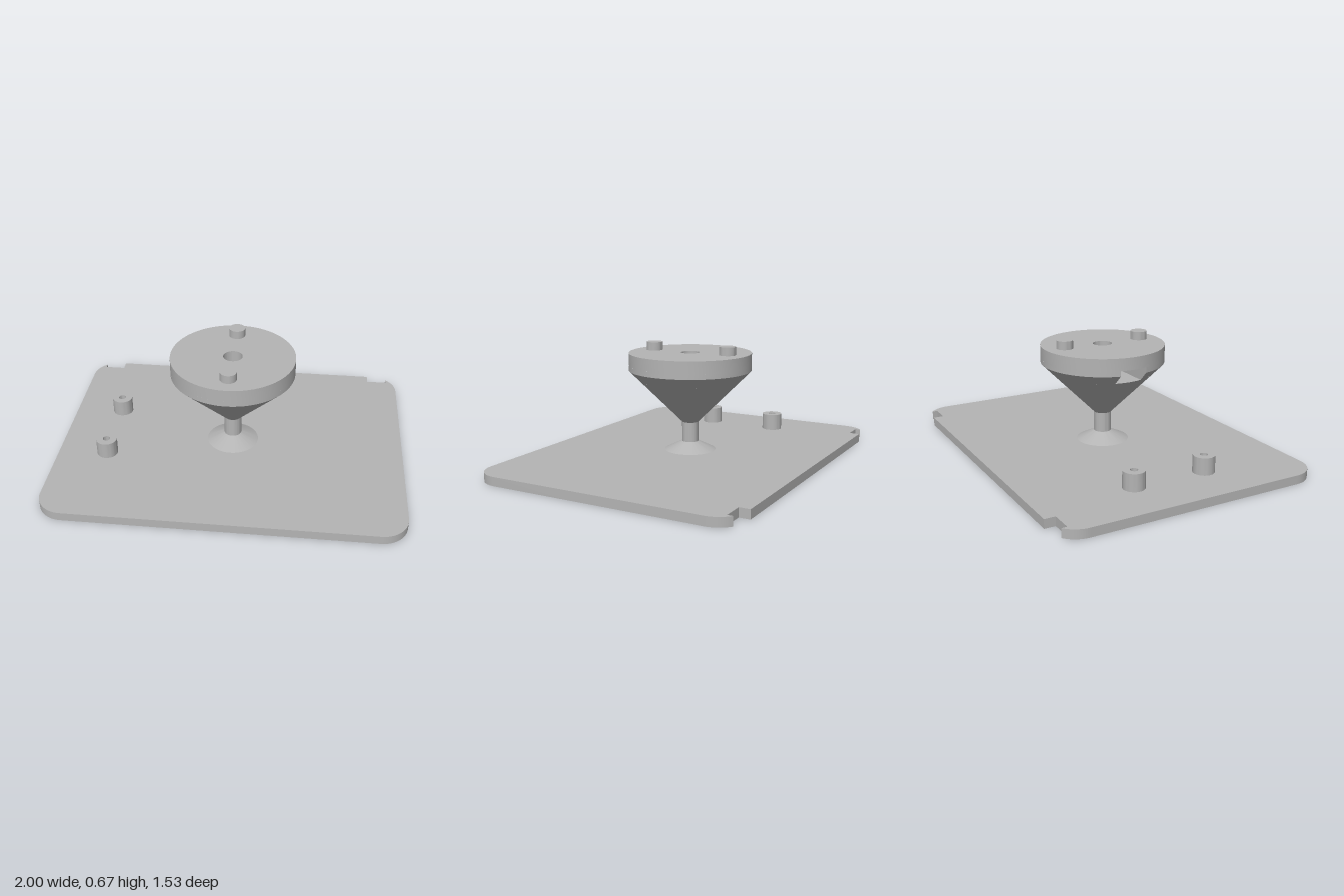
import * as THREE from 'three';
import { toCreasedNormals } from 'three/addons/utils/BufferGeometryUtils.js';

const SEG = 72;
const T = 0.05; // plate thickness

export function createModel() {
  const model = new THREE.Group();
  model.name = 'mountingPlate';
  const grey = new THREE.MeshStandardMaterial({ color: 0xb4b4b4 });
  grey.name = 'plainGrey';

  const add = (name, geometry, x = 0, y = 0, z = 0) => {
    const mesh = new THREE.Mesh(toCreasedNormals(geometry, 0.5), grey);
    mesh.name = name;
    mesh.position.set(x, y, z);
    model.add(mesh);
  };
  const lathe = (points, seg = SEG) =>
    new THREE.LatheGeometry(points.map(p => new THREE.Vector2(...p)), seg);

  // Base plate with rounded corners and two notches in the back edge
  const W = 1, D = 0.765, R = 0.15, notchIn = 0.82, notchOut = 0.94, notchZ = 0.705;
  const a = Math.acos((notchOut - (W - R)) / R);
  const s = new THREE.Shape();
  s.moveTo(-W + R, -D);
  s.lineTo(W - R, -D);
  s.absarc(W - R, -D + R, R, -Math.PI / 2, 0, false);
  s.absarc(W - R, D - R, R, 0, a, false);
  s.lineTo(notchOut, notchZ);
  s.lineTo(notchIn, notchZ);
  s.lineTo(notchIn, D);
  s.lineTo(-notchIn, D);
  s.lineTo(-notchIn, notchZ);
  s.lineTo(-notchOut, notchZ);
  s.absarc(-W + R, D - R, R, Math.PI - a, Math.PI, false);
  s.absarc(-W + R, -D + R, R, Math.PI, Math.PI * 1.5, false);
  const plate = new THREE.ExtrudeGeometry(s, { depth: T, bevelEnabled: false, curveSegments: 12 });
  add('basePlate', plate.rotateX(-Math.PI / 2));

  // Flared foot, stem and cone, closed by the slot floor
  add('stemAndCone', lathe([[0.15, T], [0.05, 0.1], [0.05, 0.215], [0.3, 0.465], [0, 0.465]]));

  // Slotted layer: a nut slot opens towards -x
  add('slottedCone', slottedLayer([[0.465, 0.3], [0.52, 0.355], [0.55, 0.355]]));

  // Top disc with a centre hole
  add('topDisc', lathe([[0.055, 0.55], [0.355, 0.55], [0.355, 0.62], [0.055, 0.62], [0.055, 0.55]]));

  for (const side of [-1, 1]) {
    // Locating pegs on the disc
    add('peg', new THREE.CylinderGeometry(0.047, 0.047, 0.048, 32), 0, 0.644, side * 0.24);
    // Hollow posts on the plate
    add('post', lathe([[0.06, 0], [0.06, 0.097], [0.021, 0.097], [0.021, 0]], 36), -0.715, T, side * 0.215);
  }
  return model;
}

// Side walls of a round layer cut by a slot with a pointed inner end
function slottedLayer(levels) {
  const w = 0.08;
  const rings = levels.map(([y, r]) => {
    const end = Math.PI - Math.asin(w / r), ring = [];
    for (let i = 0; i <= SEG; i++) {
      const t = -end + (2 * end * i) / SEG;
      ring.push([r * Math.cos(t), y, r * Math.sin(t)]);
    }
    ring.push([0.045, y, w], [0.09, y, 0], [0.045, y, -w]);
    return ring;
  });
  const pos = [];
  for (let k = 0; k < rings.length - 1; k++) {
    const lo = rings[k], up = rings[k + 1], n = lo.length;
    for (let i = 0; i < n; i++) {
      const j = (i + 1) % n;
      pos.push(...lo[i], ...up[i], ...lo[j], ...lo[j], ...up[i], ...up[j]);
    }
  }
  const g = new THREE.BufferGeometry();
  g.setAttribute('position', new THREE.Float32BufferAttribute(pos, 3));
  return g;
}
